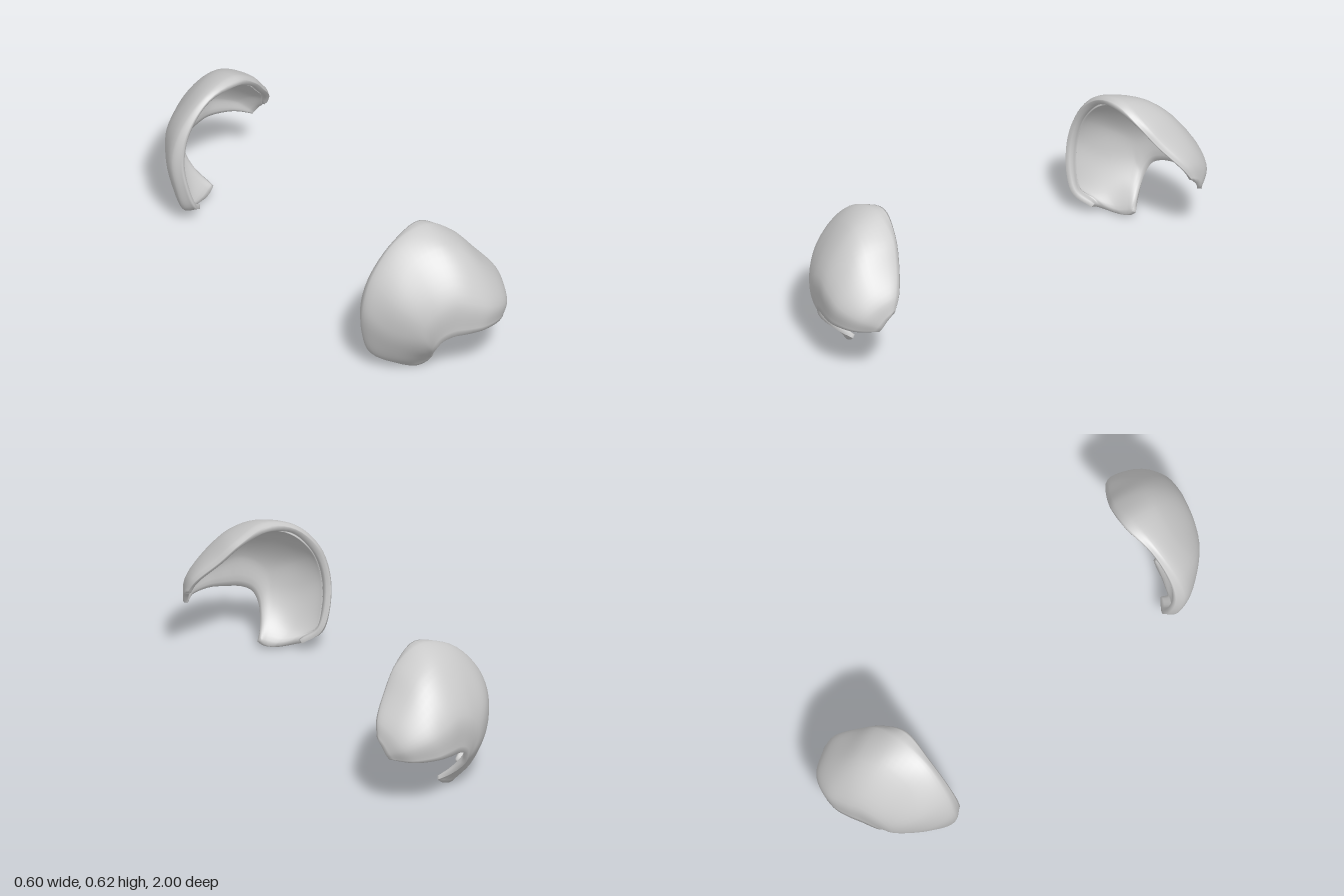
import * as THREE from 'three';

const v3 = (p) => new THREE.Vector3(...p);

// Five rails of the curved plate, from the flap's tip round to the lower tongue.
const lowerRim = [
  [.275, .233, .89], [.2, .23, .965], [.1, .23, .99], [.03, .227, .975], [-.03, .222, .95], [-.07, .2, .928],
  [-.086, .16, .905], [-.085, .13, .883], [-.068, .095, .852], [-.042, .06, .815], [-.012, .035, .78]];
const lowerBulge = [
  [.285, .25, .88], [.235, .29, .955], [.14, .33, .993], [.05, .37, .98], [-.02, .39, .955], [-.095, .36, .928],
  [-.145, .29, .905], [-.15, .21, .888], [-.135, .14, .858], [-.1, .075, .818], [-.04, .013, .775]];
const upperBulge = [
  [.293, .28, .86], [.262, .345, .895], [.18, .45, .885], [.09, .54, .85], [0, .573, .815], [-.125, .53, .785],
  [-.225, .39, .805], [-.25, .26, .785], [-.235, .16, .765], [-.18, .06, .757], [-.09, .001, .76]];
const upperShoulder = [
  [.298, .3, .84], [.283, .378, .805], [.208, .478, .74], [.136, .56, .7], [.02, .622, .69], [-.13, .585, .675],
  [-.252, .46, .68], [-.299, .32, .68], [-.287, .18, .66], [-.25, .075, .66], [-.17, .025, .7]];
const upperRim = [
  [.296, .31, .82], [.277, .37, .78], [.2, .465, .713], [.127, .548, .67], [.02, .617, .638], [-.123, .573, .648],
  [-.237, .45, .643], [-.275, .32, .63], [-.257, .18, .612], [-.22, .095, .615], [-.16, .04, .665]];
const rails = [lowerRim, lowerBulge, upperBulge, upperShoulder, upperRim]
  .map((points) => new THREE.CatmullRomCurve3(points.map(v3)));

const NU = 50, NV = 24;

// Closed shell: outer skin, thick inner skin narrowing to the rims, and two end caps.
function plateGeometry(side) {
  const skin = [];
  for (let i = 0; i <= NU; i++) {
    const section = new THREE.CatmullRomCurve3(rails.map((r) => r.getPoint(i / NU)));
    skin.push(Array.from({ length: NV + 1 }, (_, j) => section.getPoint(j / NV)));
  }

  const positions = [], index = [];
  const ring = 2 * (NV + 1);
  for (let i = 0; i <= NU; i++) {
    const outer = skin[i];
    const inner = outer.map((p, j) => {
      const du = skin[Math.min(i + 1, NU)][j].clone().sub(skin[Math.max(i - 1, 0)][j]);
      const dv = outer[Math.min(j + 1, NV)].clone().sub(outer[Math.max(j - 1, 0)]);
      const normal = dv.cross(du).normalize();
      const taper = Math.sqrt(Math.max(0, Math.sin(Math.PI * j / NV) * Math.sin(Math.PI * i / NU)));
      return p.clone().addScaledVector(normal, -(.018 + .03 * taper));
    });
    for (const p of [...outer, ...inner.reverse()]) positions.push(p.x, p.y, p.z * side);
  }

  const tri = (a, b, c) => (side > 0 ? index.push(a, b, c) : index.push(a, c, b));
  for (let i = 0; i < NU; i++) {
    for (let j = 0; j < ring; j++) {
      const a = i * ring + j, b = i * ring + (j + 1) % ring;
      tri(a, b, a + ring);
      tri(b, b + ring, a + ring);
    }
  }
  const end = NU * ring;
  for (let j = 0; j < NV; j++) {
    const k = ring - 1 - j;
    tri(j, k, j + 1);
    tri(j + 1, k, k - 1);
    tri(end + j, end + j + 1, end + k);
    tri(end + j + 1, end + k - 1, end + k);
  }

  const geometry = new THREE.BufferGeometry();
  geometry.setAttribute('position', new THREE.Float32BufferAttribute(positions, 3));
  geometry.setIndex(index);
  geometry.computeVertexNormals();
  return geometry;
}

export function createModel() {
  const model = new THREE.Group();
  model.name = 'curvedPlatePair';
  const material = new THREE.MeshStandardMaterial({ color: 0xcccccc });
  // Front plate and its mirror image at the back
  for (const [name, side] of [['frontPlate', 1], ['backPlate', -1]]) {
    const plate = new THREE.Mesh(plateGeometry(side), material);
    plate.name = name;
    model.add(plate);
  }
  return model;
}
